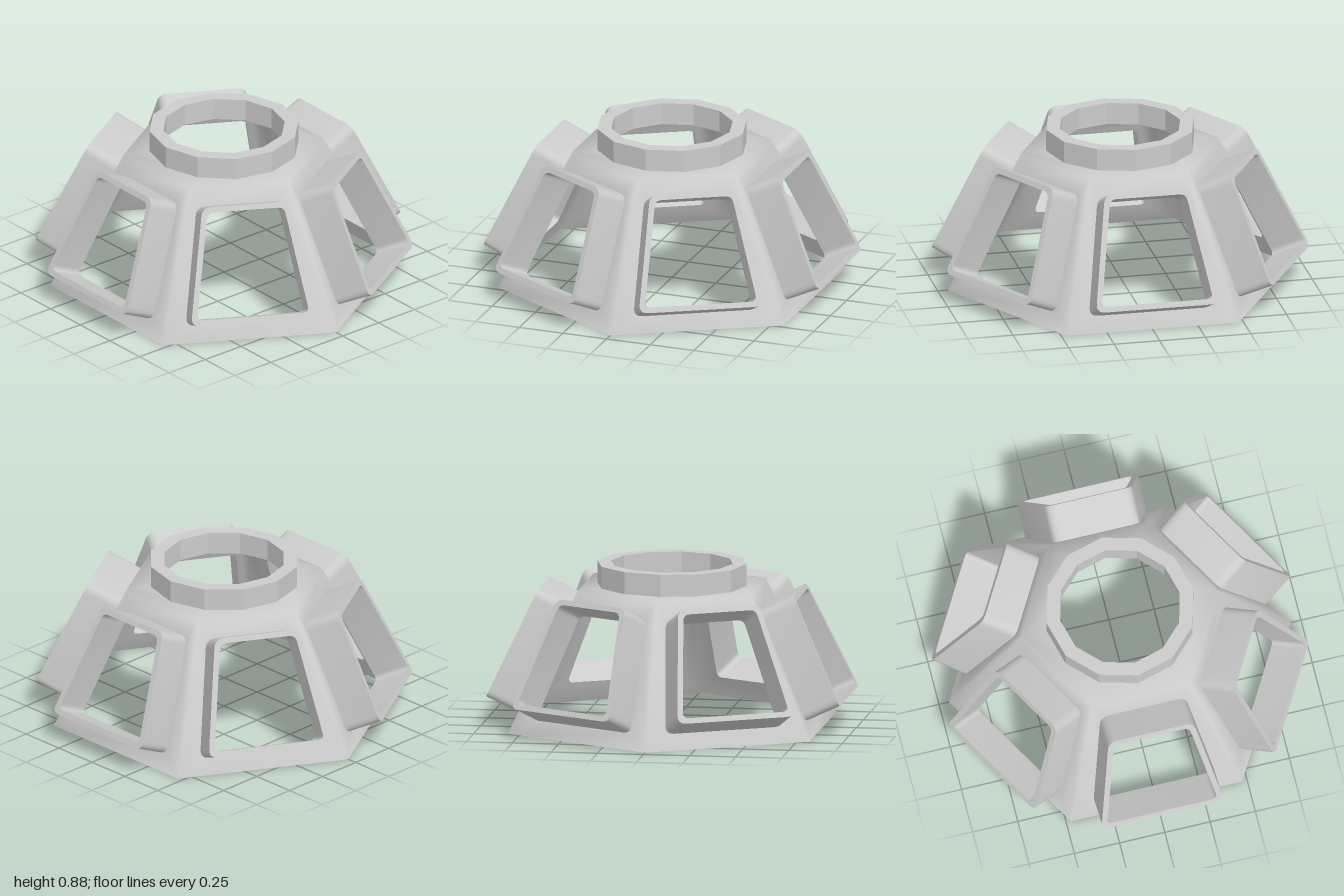
import * as THREE from 'three';
import { toCreasedNormals } from 'three/addons/utils/BufferGeometryUtils.js';

const SIDES = 6, STEP = Math.PI / 3;
const R0 = 0.945, R1 = 0.54, H = 0.755;          // hexagonal dome: base radius, top radius, height
const A0 = R0 * Math.cos(STEP / 2), A1 = R1 * Math.cos(STEP / 2);
const TILT = Math.atan2(A0 - A1, H);             // lean of each wall
const SLANT = Math.hypot(A0 - A1, H);
const material = new THREE.MeshStandardMaterial({ color: 0xcccccc, side: THREE.DoubleSide });

// Symmetrical trapezoid with rounded corners
function trapezoid(Path, halfLow, halfHigh, low, high, r) {
  const pts = [[-halfLow, low], [halfLow, low], [halfHigh, high], [-halfHigh, high]]
    .map(p => new THREE.Vector2(...p));
  const path = new Path();
  pts.forEach((p, i) => {
    const towards = q => p.clone().add(q.clone().sub(p).setLength(r));
    const a = towards(pts[(i + 3) % 4]), b = towards(pts[(i + 1) % 4]);
    if (i === 0) path.moveTo(a.x, a.y); else path.lineTo(a.x, a.y);
    path.quadraticCurveTo(p.x, p.y, b.x, b.y);
  });
  path.closePath();
  return path;
}

// Wall panel with a window; normals on the outer edges blend with the neighbours
function wallGeometry() {
  const shape = new THREE.Shape([
    new THREE.Vector2(-R0 / 2, 0), new THREE.Vector2(R0 / 2, 0),
    new THREE.Vector2(R1 / 2, SLANT), new THREE.Vector2(-R1 / 2, SLANT)]);
  shape.holes.push(trapezoid(THREE.Path, 0.34, 0.235, 0.094, 0.727, 0.05));
  const geo = new THREE.ShapeGeometry(shape, 5);
  const pos = geo.attributes.position, up = new THREE.Vector3(0, 1, 0);
  for (let i = 0; i < pos.count; i++) {
    const y = pos.getY(i), atTop = y > SLANT - 1e-4;
    if (y > 1e-4 && !atTop) continue;
    const n = new THREE.Vector3(0, Math.sin(TILT), Math.cos(TILT));
    n.add(n.clone().applyAxisAngle(up, Math.sign(pos.getX(i)) * STEP));
    if (atTop) n.add(up);
    n.normalize().applyAxisAngle(new THREE.Vector3(1, 0, 0), TILT);
    geo.attributes.normal.setXYZ(i, n.x, n.y, n.z);
  }
  return geo;
}

// Deep window surround standing out from the wall
function frameGeometry() {
  const shape = trapezoid(THREE.Shape, 0.34, 0.235, 0.094, 0.727, 0.05);
  shape.holes.push(trapezoid(THREE.Path, 0.305, 0.208, 0.124, 0.697, 0.035));
  const geo = new THREE.ExtrudeGeometry(shape, { depth: 0.2, bevelEnabled: false, curveSegments: 5 });
  return toCreasedNormals(geo, 0.6);
}

// Flat roof from the hexagon to the ring, shaded softly at its rim
function roofGeometry() {
  const circle = (r, n) => Array.from({ length: n }, (_, i) =>
    new THREE.Vector2(r * Math.cos(i * 2 * Math.PI / n), r * Math.sin(i * 2 * Math.PI / n)));
  const shape = new THREE.Shape(circle(R1, SIDES));
  shape.holes.push(new THREE.Path(circle(0.33, 12)));
  const geo = new THREE.ShapeGeometry(shape).rotateX(-Math.PI / 2);
  const pos = geo.attributes.position;
  for (let i = 0; i < pos.count; i++) {
    const v = new THREE.Vector3().fromBufferAttribute(pos, i);
    if (v.length() < 0.45) continue;
    v.normalize().setY(1).normalize();
    geo.attributes.normal.setXYZ(i, v.x, v.y, v.z);
  }
  return geo;
}

// Twelve-sided hatch collar with a square section
function collarGeometry() {
  const profile = [[0.33, H], [0.405, H], [0.405, 0.875], [0.33, 0.875], [0.33, H]]
    .map(p => new THREE.Vector2(...p));
  return toCreasedNormals(new THREE.LatheGeometry(profile, 12), 0.3);
}

export function createModel() {
  const model = new THREE.Group();
  model.name = 'windowedDome';
  const add = (parent, name, geo) => {
    const mesh = new THREE.Mesh(geo, material);
    mesh.name = name;
    parent.add(mesh);
    return mesh;
  };

  // Six leaning walls, each with its window surround
  const wall = wallGeometry(), frame = frameGeometry();
  for (let i = 0; i < SIDES; i++) {
    const side = new THREE.Group();
    side.name = 'side' + (i + 1);
    side.rotation.y = i * STEP;
    const panel = new THREE.Group();
    panel.name = 'leaningPanel';
    panel.position.z = A0;
    panel.rotation.x = -TILT;
    add(panel, 'wall', wall);
    add(panel, 'windowFrame', frame);
    side.add(panel);
    model.add(side);
  }

  // Roof and collar
  add(model, 'roof', roofGeometry()).position.y = H;
  add(model, 'hatchCollar', collarGeometry());
  return model;
}
